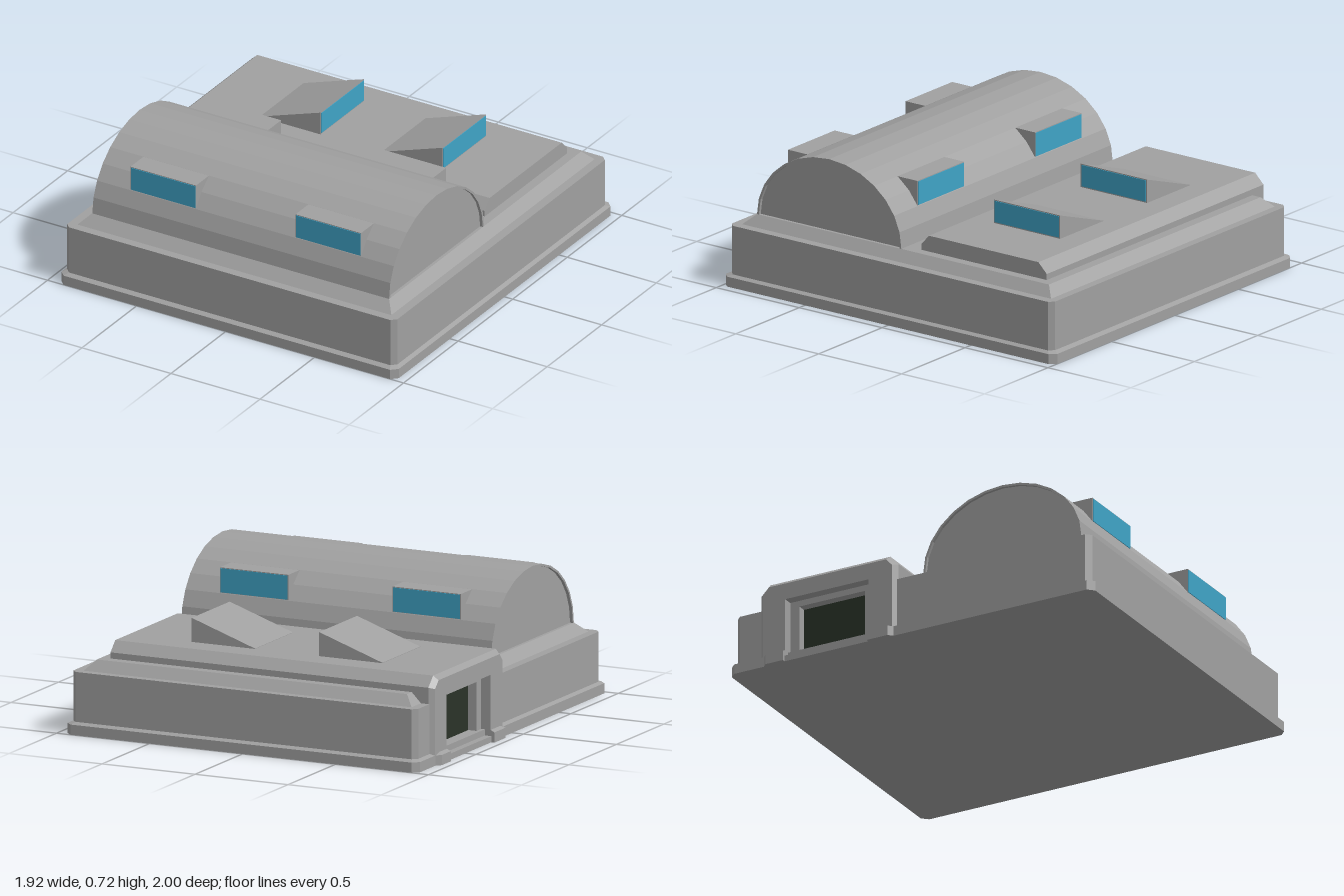
import * as THREE from 'three';

const paint = (name, color) => Object.assign(new THREE.MeshStandardMaterial({ color }), { name });

// Closed solid through matching counter-clockwise outlines: rings = [[level, [[a, b], ...]], ...]
// axis 'z': (a, b) = (x, y)   axis 'y': (a, b) = (x, -z)   axis 'x': (a, b) = (-z, y)
function loft(rings, axis) {
  const pos = [];
  const put = (r, i) => {
    const p = rings[r][1];
    const [a, b] = p[i % p.length];
    pos.push(a, b, rings[r][0]);
  };
  const n = rings[0][1].length, last = rings.length - 1;
  for (let r = 0; r < last; r++)
    for (let i = 0; i < n; i++) {
      put(r, i); put(r, i + 1); put(r + 1, i + 1);
      put(r, i); put(r + 1, i + 1); put(r + 1, i);
    }
  const tris = (r) => THREE.ShapeUtils.triangulateShape(rings[r][1].map(([a, b]) => new THREE.Vector2(a, b)), []);
  for (const [a, b, c] of tris(0)) { put(0, c); put(0, b); put(0, a); }
  for (const [a, b, c] of tris(last)) { put(last, a); put(last, b); put(last, c); }
  const g = new THREE.BufferGeometry();
  g.setAttribute('position', new THREE.Float32BufferAttribute(pos, 3));
  if (axis === 'y') g.rotateX(-Math.PI / 2);
  if (axis === 'x') g.rotateY(Math.PI / 2);
  g.computeVertexNormals();
  return g;
}

// Box given by its limits
function block(x0, x1, y0, y1, z0, z1) {
  return new THREE.BoxGeometry(x1 - x0, y1 - y0, z1 - z0)
    .translate((x0 + x1) / 2, (y0 + y1) / 2, (z0 + z1) / 2);
}

// Building plan with cut corners and a recess for the doorway
function plan(x0, x1, h, c) {
  const d = -0.84;
  return [[x0 + c, -h], [x1 - c, -h], [x1, -h + c], [x1, h - c], [x1 - c, h], [x0 + c, h], [x0, h - c],
    [x0, 0.69], [d, 0.69], [d, 0.23], [x0, 0.23], [x0, -h + c]];
}

const rect = (x0, x1, y0, y1) => [[x0, y0], [x1, y0], [x1, y1], [x0, y1]];

// Entrance end with a doorway, drawn in by i around the outside
function portal(i, z0, z1, top) {
  return [[0.08 + i, 0], [z0, 0], [z0, top], [z1, top], [z1, 0], [0.835 - i, 0],
    [0.835 - i, 0.385 - 0.4 * i], [0.785 - 0.4 * i, 0.435 - i],
    [0.125 + 0.4 * i, 0.435 - i], [0.08 + i, 0.385 - 0.4 * i]];
}

// Half-ellipse of the vault
function arc(rz, ry) {
  const pts = [];
  for (let i = 0; i <= 14; i++) {
    const t = (i / 14) * Math.PI;
    pts.push([-0.44 + rz * Math.cos(t), 0.355 + ry * Math.sin(t)]);
  }
  return pts;
}

export function createModel() {
  const model = new THREE.Group();
  const grey = paint('grey wall', 0xa0a0a0);
  const blue = paint('blue glass', 0x3fa3c6);
  const dark = paint('dark door', 0x2a3328);
  const add = (name, geometry, material = grey) => {
    const m = new THREE.Mesh(geometry, material);
    m.name = name;
    model.add(m);
    return m;
  };

  // Base walls on a bevelled plinth
  const foot = plan(-0.94, 0.955, 1, 0.03);
  const wall = plan(-0.92, 0.935, 0.975, 0.025);
  add('baseWalls', loft([[0, foot], [0.05, foot], [0.06, wall], [0.305, wall]], 'y'));
  add('slopedRoofEdge', loft([
    [0.3, rect(-0.88, 0.893, -0.935, 0.938)],
    [0.355, rect(-0.826, 0.842, -0.875, 0.885)]], 'y'));

  // Barrel vault with recessed end walls
  const outer = arc(0.435, 0.365), inner = arc(0.424, 0.354);
  const shell = [...outer, ...inner.slice().reverse()];
  add('vaultShell', loft([[-0.825, shell], [0.842, shell]], 'x'));
  add('vaultEndWalls', loft([[-0.81, inner], [0.827, inner]], 'x'));

  // Dormer windows on both slopes of the vault
  for (const x of [-0.454, 0.473])
    for (const s of [1, -1]) {
      const dormer = new THREE.Group();
      dormer.name = 'dormer';
      const hood = new THREE.Mesh(block(-0.184, 0.184, 0.513, 0.64, -0.1, 0.1), grey);
      hood.name = 'dormerHood';
      hood.position.z = 0.29;
      const glass = new THREE.Mesh(block(-0.18, 0.18, 0.518, 0.636, 0.386, 0.393), blue);
      glass.name = 'dormerGlass';
      dormer.add(hood, glass);
      dormer.position.set(x, 0, 0.44);
      if (s < 0) dormer.rotation.y = Math.PI;
      model.add(dormer);
    }

  // Raised flat roof running to the entrance
  const roof = [[0.08, 0.3], [0.835, 0.3], [0.835, 0.385], [0.785, 0.435], [0.125, 0.435], [0.08, 0.385]];
  add('raisedRoof', loft([[-0.84, roof], [0.794, roof]], 'x'));

  // Wedge skylights
  for (const x of [-0.575, 0.11]) {
    const wedge = [[x, 0.43], [x + 0.34, 0.43], [x + 0.34, 0.553], [x, 0.437]];
    add('skylight', loft([[-0.653, wedge], [-0.253, wedge]], 'z'));
    add('skylightGlass', block(x + 0.336, x + 0.343, 0.441, 0.548, -0.647, -0.259), blue);
  }

  // Entrance with a stepped door recess
  const face = portal(0, 0.23, 0.69, 0.33);
  add('entranceFace', loft([[-0.94, portal(0.022, 0.23, 0.69, 0.33)], [-0.915, face], [-0.89, face]], 'x'));
  const frame = portal(0, 0.28, 0.64, 0.3);
  add('doorFrame', loft([[-0.89, frame], [-0.84, frame]], 'x'));
  add('door', block(-0.846, -0.838, 0.06, 0.302, -0.64, -0.28), dark);
  add('lowerStep', block(-0.945, -0.84, 0, 0.03, -0.69, -0.23));
  add('upperStep', block(-0.91, -0.84, 0, 0.06, -0.69, -0.23));

  // Plinth feet beside the doorway
  const c = 0.025;
  const footPlan = (i) => [
    [[-0.9, 0.09 + i], [-0.9, 0.23], [-0.962 + i, 0.23], [-0.962 + i, 0.09 + c + i], [-0.962 + c + i, 0.09 + i]],
    [[-0.9, 0.69], [-0.9, 0.81 - i], [-0.962 + c + i, 0.81 - i], [-0.962 + i, 0.81 - c - i], [-0.962 + i, 0.69]],
  ];
  for (const k of [0, 1])
    add('entrancePlinth', loft([[0, footPlan(0)[k]], [0.05, footPlan(0)[k]], [0.06, footPlan(0.02)[k]]], 'y'));

  return model;
}
